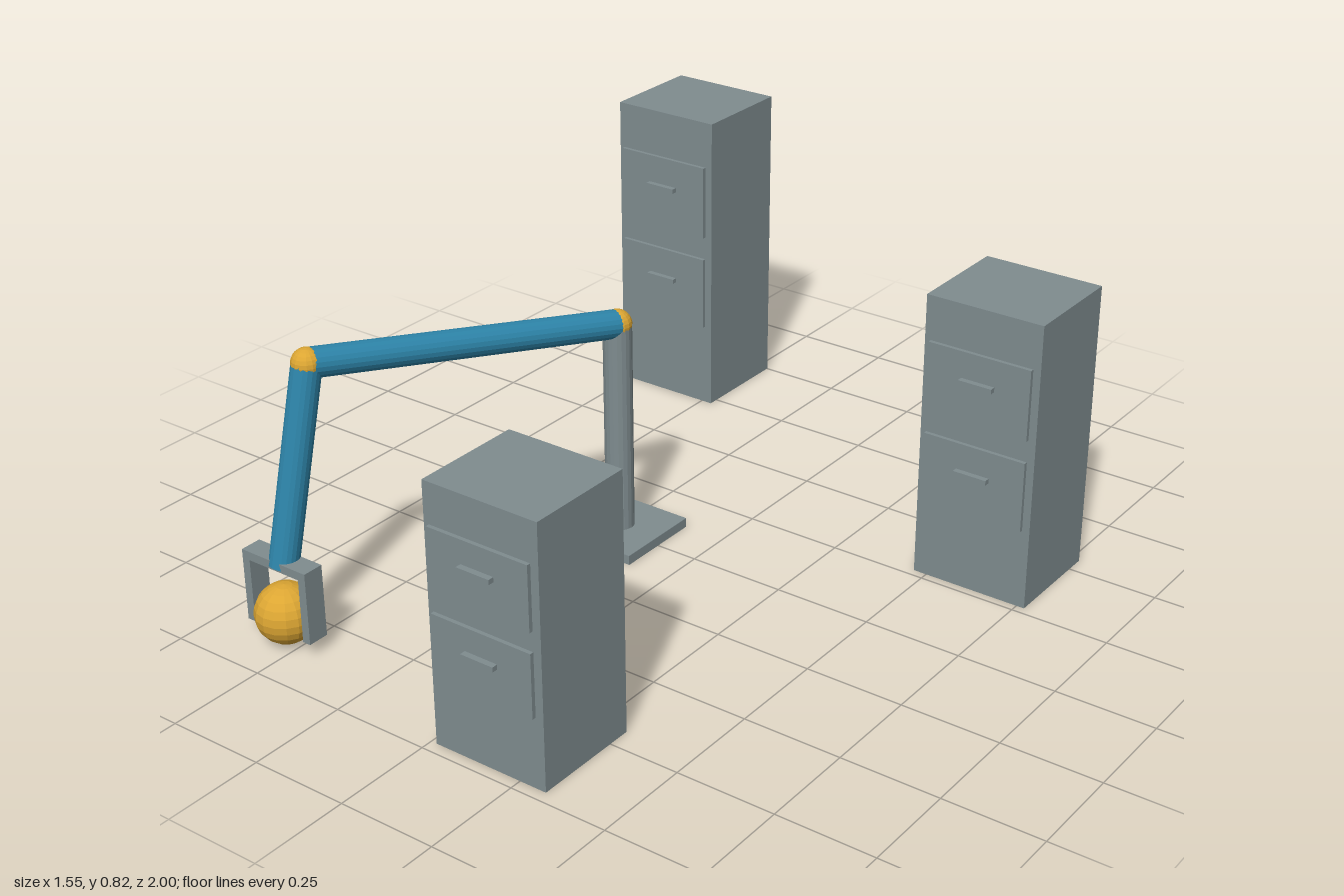
import * as THREE from 'three';

const grey = new THREE.MeshStandardMaterial({ color: 0x7f8c8f, flatShading: true });
const blue = new THREE.MeshStandardMaterial({ color: 0x2e86ab, flatShading: true });
const gold = new THREE.MeshStandardMaterial({ color: 0xdca633, flatShading: true });
grey.name = 'steelGrey';
blue.name = 'armBlue';
gold.name = 'jointGold';

function add(parent, name, geometry, material, x, y, z) {
  const mesh = new THREE.Mesh(geometry, material);
  mesh.name = name;
  mesh.position.set(x, y, z);
  parent.add(mesh);
  return mesh;
}

const box = (parent, name, w, h, d, x, y, z) =>
  add(parent, name, new THREE.BoxGeometry(w, h, d), grey, x, y, z);

const ball = (parent, name, r, p) =>
  add(parent, name, new THREE.SphereGeometry(r, 16, 12), gold, p.x, p.y, p.z);

// Round bar running between two points
function limb(parent, name, from, to, r, material) {
  const dir = to.clone().sub(from);
  const mid = from.clone().lerp(to, 0.5);
  const mesh = add(parent, name, new THREE.CylinderGeometry(r, r, dir.length(), 20), material, mid.x, mid.y, mid.z);
  mesh.quaternion.setFromUnitVectors(new THREE.Vector3(0, 1, 0), dir.normalize());
}

// Two-drawer cabinet; drawer sizes follow the cabinet height
function cabinet(x, z, h) {
  const g = new THREE.Group();
  g.name = 'cabinet';
  const w = 0.305, d = 0.278, front = d / 2;
  box(g, 'cabinetBody', w, h, d, 0, h / 2, 0);
  for (const level of [0.405, 0.727]) {
    box(g, 'drawerFront', 0.27, 0.245 * h, 0.01, 0, level * h, front + 0.009);
    box(g, 'drawerHandle', 0.088, 0.012, 0.016, 0, (level + 0.023) * h, front + 0.021);
  }
  g.position.set(x, 0, z);
  return g;
}

// Gripper frame holding a ball
function gripper() {
  const g = new THREE.Group();
  g.name = 'gripper';
  box(g, 'gripperBar', 0.198, 0.022, 0.055, 0, 0.212, 0);
  for (const side of [-1, 1]) box(g, 'gripperFinger', 0.022, 0.164, 0.055, side * 0.088, 0.119, 0);
  ball(g, 'heldBall', 0.075, new THREE.Vector3(0, 0.076, 0));
  g.position.set(-0.542, 0, 0.857);
  return g;
}

function robotArm() {
  const g = new THREE.Group();
  g.name = 'robotArm';
  const foot = new THREE.Vector3(-0.23, 0.025, 0);
  const shoulder = new THREE.Vector3(-0.23, 0.575, 0);
  const elbow = new THREE.Vector3(-0.505, 0.688, 0.765);
  const wrist = new THREE.Vector3(-0.538, 0.202, 0.855);
  box(g, 'basePlate', 0.236, 0.025, 0.236, -0.23, 0.0125, 0);
  limb(g, 'post', foot, shoulder, 0.036, grey);
  limb(g, 'upperArm', shoulder, elbow, 0.036, blue);
  limb(g, 'forearm', elbow, wrist, 0.036, blue);
  ball(g, 'shoulderJoint', 0.037, shoulder);
  ball(g, 'elbowJoint', 0.037, elbow);
  g.add(gripper());
  return g;
}

export function createModel() {
  const model = new THREE.Group();
  model.name = 'armWithCabinets';
  model.add(
    robotArm(),
    cabinet(-0.622, -0.862, 0.82),
    cabinet(0.168, 0.831, 0.65),
    cabinet(0.618, -0.411, 0.737),
  );
  return model;
}
